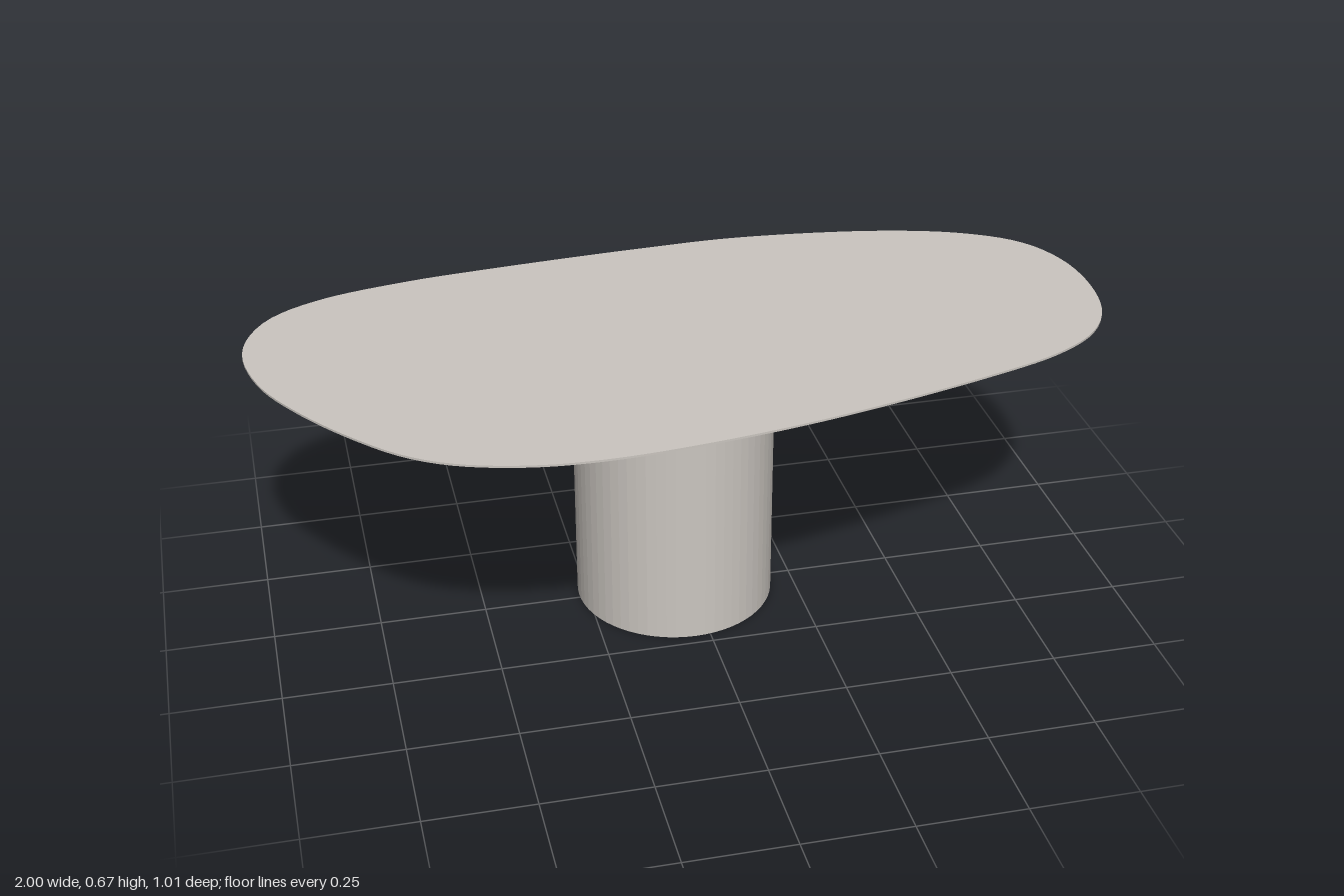
import * as THREE from 'three';
import { toCreasedNormals } from 'three/addons/utils/BufferGeometryUtils.js';

const SEGMENTS = 160;

// Organic tabletop outline as x, z points, counterclockwise from above
const OUTLINE = [
  [1, -0.08], [0.98, -0.22], [0.92, -0.325], [0.8, -0.405], [0.6, -0.467], [0.25, -0.508],
  [0, -0.5], [-0.4, -0.466], [-0.6, -0.44], [-0.8, -0.39], [-0.92, -0.32], [-0.98, -0.23],
  [-1, -0.13], [-0.97, 0.02], [-0.9, 0.152], [-0.8, 0.287], [-0.7, 0.39], [-0.6, 0.45],
  [-0.45, 0.492], [-0.3, 0.503], [-0.1, 0.489], [0.2, 0.44], [0.6, 0.335], [0.8, 0.262],
  [0.91, 0.185], [0.975, 0.08],
];

function tabletopGeometry() {
  const curve = new THREE.CatmullRomCurve3(
    OUTLINE.map(([x, z]) => new THREE.Vector3(x, 0, z)), true);

  // A level ring of the outline, moved inward by inset
  const ring = (y, inset) => Array.from({ length: SEGMENTS }, (_, i) => {
    const p = curve.getPointAt(i / SEGMENTS);
    const t = curve.getTangentAt(i / SEGMENTS);
    return [p.x + t.z * inset, y, p.z - t.x * inset];
  });
  const rings = [ring(0.633, 0.075), ring(0.667, 0), ring(0.672, 0)];
  const bottom = [0, 0.633, 0];
  const top = [0, 0.672, 0];

  const positions = [];
  const triangle = (a, b, c) => positions.push(...a, ...b, ...c);
  for (let i = 0; i < SEGMENTS; i++) {
    const j = (i + 1) % SEGMENTS;
    triangle(bottom, rings[0][j], rings[0][i]);
    triangle(top, rings[2][i], rings[2][j]);
    // Bevelled underside, then the thin upright lip
    for (let k = 0; k < 2; k++) {
      const lower = rings[k], upper = rings[k + 1];
      triangle(lower[i], lower[j], upper[j]);
      triangle(lower[i], upper[j], upper[i]);
    }
  }
  const geometry = new THREE.BufferGeometry();
  geometry.setAttribute('position', new THREE.Float32BufferAttribute(positions, 3));
  return toCreasedNormals(geometry, 0.35);
}

export function createModel() {
  const model = new THREE.Group();
  model.name = 'pedestalTable';

  const stone = new THREE.MeshStandardMaterial({ color: 0xcbc6c0 });
  stone.name = 'warmGreyStone';

  const tabletop = new THREE.Mesh(tabletopGeometry(), stone);
  tabletop.name = 'tabletop';

  // Faceted drum under the top, slightly off centre
  const drum = toCreasedNormals(new THREE.CylinderGeometry(0.235, 0.235, 0.633, 64), 0.01);
  const pedestal = new THREE.Mesh(drum, stone);
  pedestal.name = 'pedestal';
  pedestal.position.set(-0.035, 0.3165, -0.012);

  model.add(tabletop, pedestal);
  return model;
}
